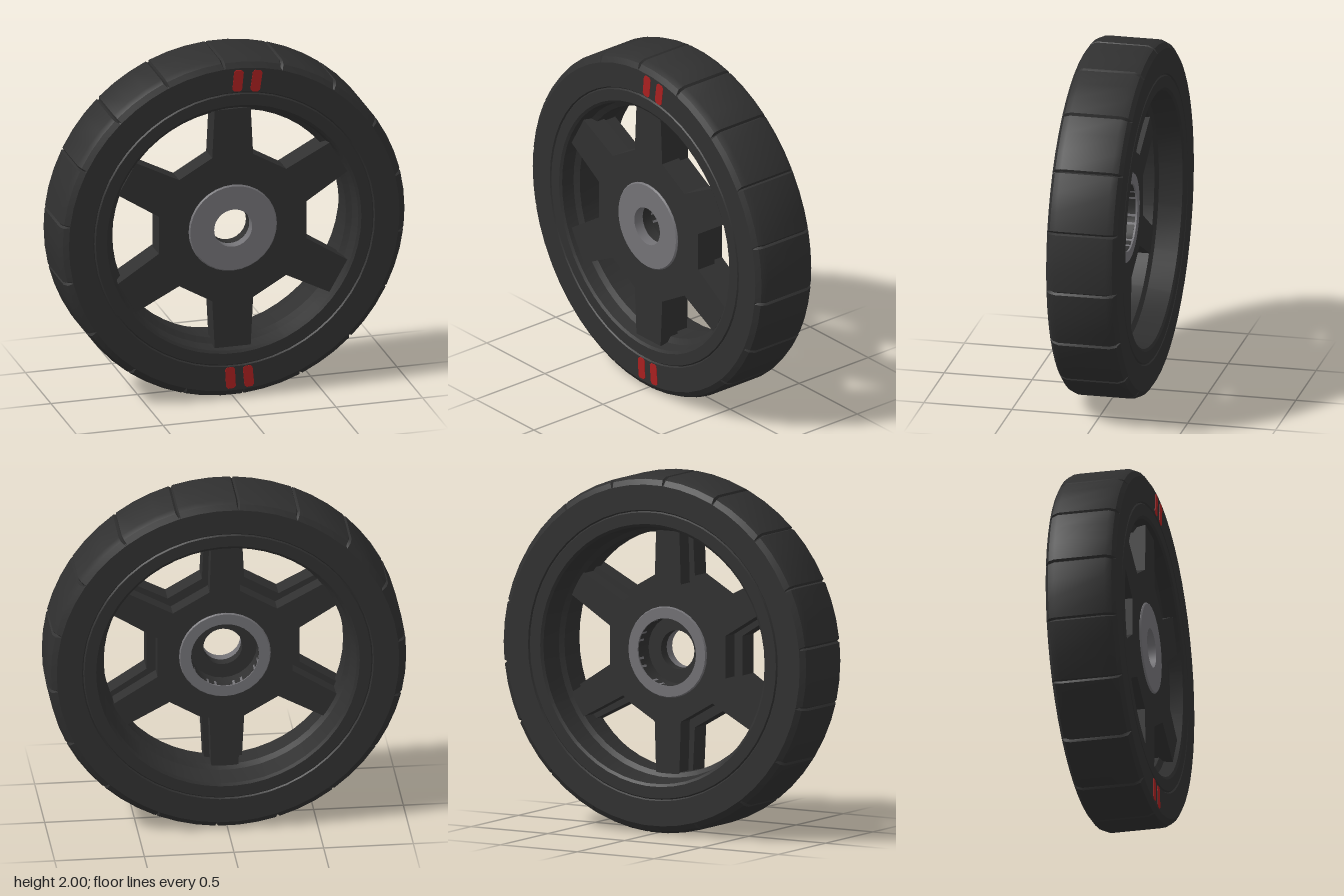
import * as THREE from 'three';
import { toCreasedNormals } from 'three/addons/utils/BufferGeometryUtils.js';

const rubber = new THREE.MeshStandardMaterial({ name: 'dark rubber', color: 0x303030 });
const metal = new THREE.MeshStandardMaterial({ name: 'grey metal', color: 0x737276 });
const red = new THREE.MeshStandardMaterial({ name: 'red marking', color: 0xa82020 });

const CREASE = 0.5;

// Closed [radius, z] loop turned around the wheel axis (z)
function ring(loop, segments) {
  const points = [...loop, loop[0]].map(([r, z]) => new THREE.Vector2(r, z));
  return new THREE.LatheGeometry(points, segments);
}

// Tyre and rim in one section, with a V groove cut between the tread pads
function tyreGeometry() {
  const loop = [
    [0.72, -0.19], [0.735, -0.2], [0.8, -0.2], [0.807, -0.192], [0.814, -0.2],
    [0.955, -0.2], [0.985, -0.18], [1, -0.145],
    [1, 0.145], [0.985, 0.18], [0.955, 0.2],
    [0.814, 0.2], [0.807, 0.192], [0.8, 0.2], [0.735, 0.2], [0.72, 0.19],
    [0.705, 0.12], [0.675, 0.1], [0.675, -0.04], [0.7, -0.06],
  ];
  const pads = 18;
  const steps = [0, 0.03, 0.06, 0.36, 0.68];
  const geometry = ring(loop, pads * steps.length);
  const pos = geometry.attributes.position;
  const perColumn = loop.length + 1;
  for (let i = 0; i < pos.count; i++) {
    const column = Math.floor(i / perColumn) % (pads * steps.length);
    const k = column % steps.length;
    const angle = (Math.floor(column / steps.length) + steps[k]) * Math.PI * 2 / pads + 0.05;
    let r = Math.hypot(pos.getX(i), pos.getZ(i));
    if (k === 1 && r > 0.96) r -= r > 0.99 ? 0.012 : 0.022;
    pos.setXYZ(i, r * Math.sin(angle), pos.getY(i), r * Math.cos(angle));
  }
  geometry.rotateX(Math.PI / 2);
  return toCreasedNormals(geometry, CREASE);
}

// Six-spoked star with a round hole for the hub
function starGeometry(halfTip, halfRoot, rootRadius, z0, z1) {
  const shape = new THREE.Shape();
  for (let i = 0; i < 6; i++) {
    const a = Math.PI / 2 + i * Math.PI / 3;
    const corners = [[rootRadius, -halfRoot], [0.705, -halfTip], [0.705, halfTip], [rootRadius, halfRoot]];
    corners.forEach(([along, side], j) => {
      const x = along * Math.cos(a) - side * Math.sin(a);
      const y = along * Math.sin(a) + side * Math.cos(a);
      if (i + j === 0) shape.moveTo(x, y);
      else shape.lineTo(x, y);
    });
  }
  shape.closePath();
  const hole = new THREE.Path();
  hole.absarc(0, 0, 0.235, 0, Math.PI * 2, true);
  shape.holes.push(hole);
  const geometry = new THREE.ExtrudeGeometry(shape, { depth: z1 - z0, bevelEnabled: false, curveSegments: 24 });
  return geometry.translate(0, 0, z0);
}

export function createModel() {
  const wheel = new THREE.Group();
  wheel.name = 'wheel';
  wheel.position.y = 1;

  function add(name, geometry, material) {
    const mesh = new THREE.Mesh(geometry, material);
    mesh.name = name;
    wheel.add(mesh);
    return mesh;
  }

  add('tyre', tyreGeometry(), rubber);

  // Spokes: wide front layer over a narrower rear layer
  add('frontSpokes', starGeometry(0.104, 0.118, 0.425, 0.05, 0.17), rubber);
  add('rearSpokes', starGeometry(0.075, 0.085, 0.385, -0.045, 0.05), rubber);

  // Hub: front disc and rear collar
  const turned = (loop, n) => toCreasedNormals(ring(loop, n).rotateX(Math.PI / 2), CREASE);
  add('hubDisc', turned([[0.11, 0.12], [0.255, 0.12], [0.255, 0.172], [0.248, 0.18], [0.11, 0.18]], 32), metal);
  add('hubCollar', turned([[0.19, -0.055], [0.25, -0.055], [0.256, -0.045], [0.256, 0], [0.19, 0]], 32), metal);

  // Dark stepped bore inside the hub
  add('bore', turned([[0.19, -0.045], [0.24, -0.045], [0.24, 0.12], [0.109, 0.12], [0.109, 0.06], [0.19, 0.06]], 24), rubber);

  // Paired red marks on the front sidewall: x, y, tilt
  const marks = [[0.022, 0.88, -0.1], [0.128, 0.87, -0.14], [-0.022, -0.878, 0.05], [0.082, -0.878, 0.09]];
  for (const [x, y, tilt] of marks) {
    const w = 0.028, h = 0.063, c = 0.012;
    const shape = new THREE.Shape([
      [-w + c, -h], [w - c, -h], [w, -h + c], [w, h - c],
      [w - c, h], [-w + c, h], [-w, h - c], [-w, -h + c],
    ].map(([px, py]) => new THREE.Vector2(px, py)));
    const mark = add('sidewallMark', new THREE.ExtrudeGeometry(shape, { depth: 0.006, bevelEnabled: false }), red);
    mark.position.set(x, y, 0.197);
    mark.rotation.z = tilt;
  }

  const model = new THREE.Group();
  model.name = 'wheelModel';
  model.add(wheel);
  return model;
}
